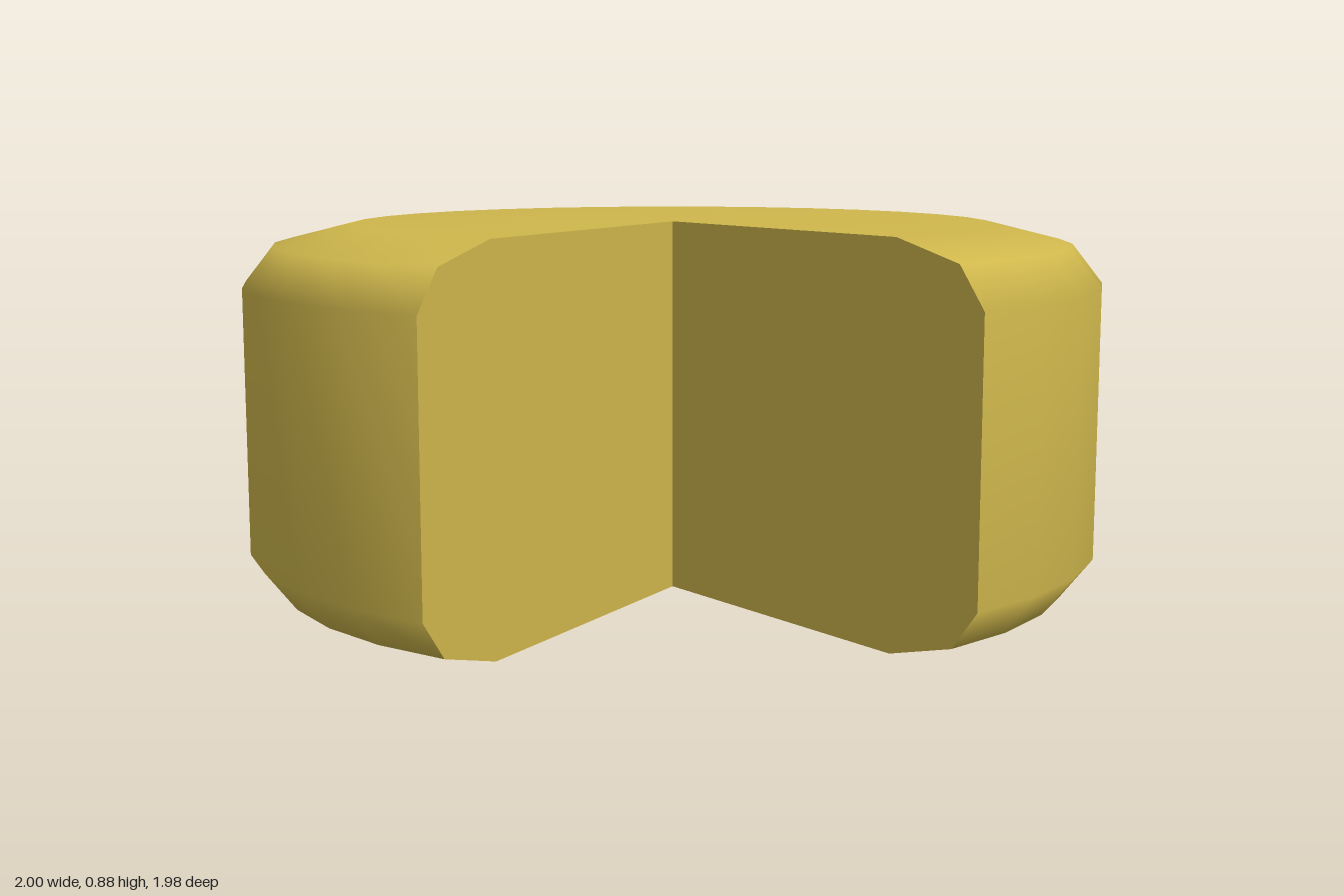
import * as THREE from 'three';

const rad = THREE.MathUtils.degToRad;

// Half section of the wheel: radius, height
const profile = [
  [0, 0], [0.75, 0], [0.93, 0.05], [1, 0.14],
  [1, 0.75], [0.93, 0.84], [0.75, 0.885], [0, 0.885],
].map(([r, y]) => new THREE.Vector2(r, y));

const START = 10.3; // degrees from the front, towards +x
const SWEEP = 292.5;

export function createModel() {
  const group = new THREE.Group();
  group.name = 'cheeseWheel';

  const cheese = new THREE.MeshStandardMaterial({ color: 0xcfb74c });
  cheese.name = 'cheese yellow';

  // Rounded wheel with a wedge left out
  const wheel = new THREE.Mesh(
    new THREE.LatheGeometry(profile, 26, rad(START), rad(SWEEP)), cheese);
  wheel.name = 'wheel';
  group.add(wheel);

  // Flat cut faces, each turned to look into the missing wedge
  const addCut = (name, angle, side) => {
    const outline = profile.map((p) => new THREE.Vector2(p.x * side, p.y));
    const cut = new THREE.Mesh(new THREE.ShapeGeometry(new THREE.Shape(outline)), cheese);
    cut.rotation.y = rad(angle - 90 * side);
    cut.name = name;
    group.add(cut);
  };
  addCut('leftCutFace', START, 1);
  addCut('rightCutFace', START + SWEEP, -1);

  return group;
}
